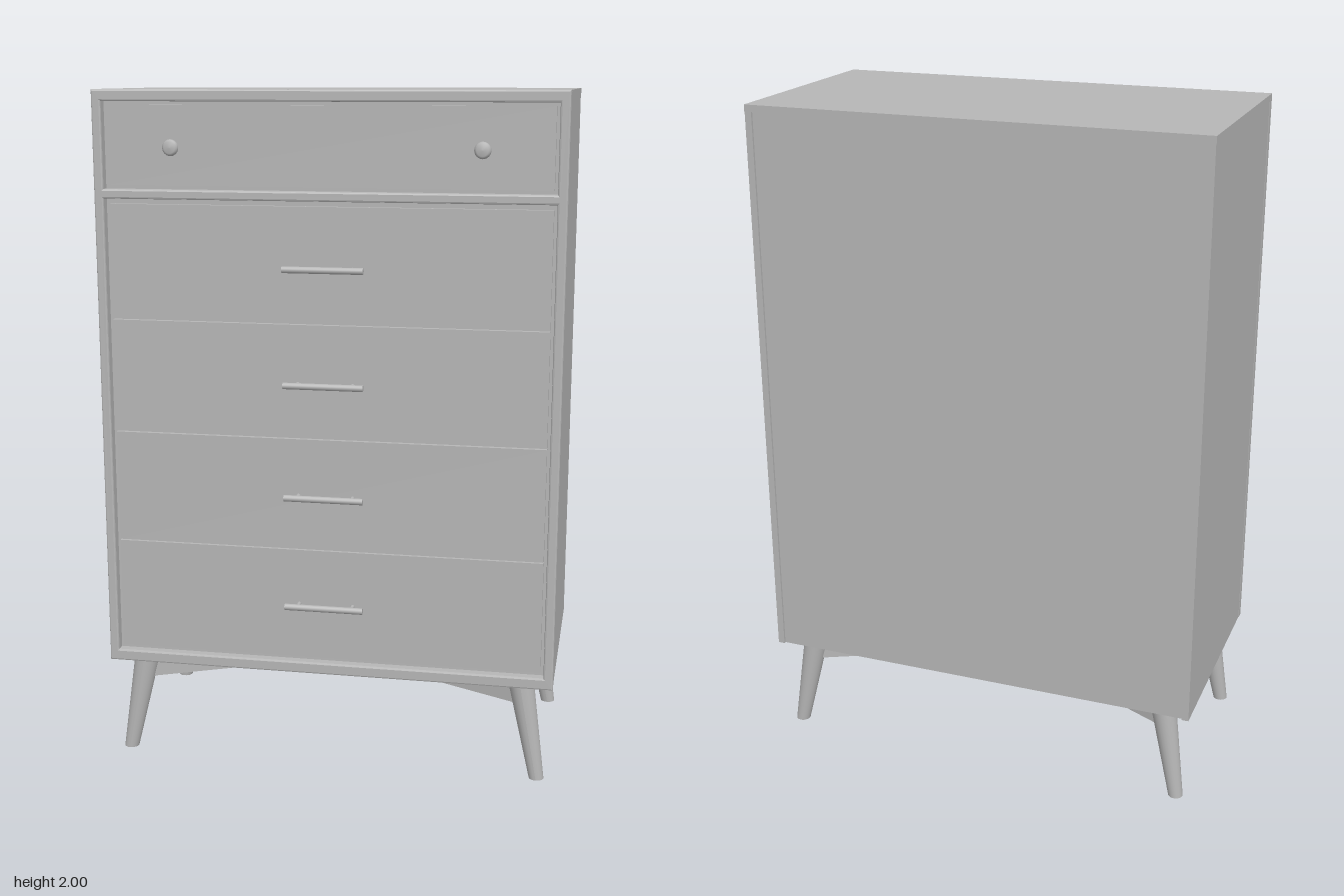
import * as THREE from 'three';

export function createModel() {
  const model = new THREE.Group();
  model.name = 'chestOfDrawers';
  const grey = new THREE.MeshStandardMaterial({ color: 0xb6b6b6 });
  grey.name = 'plain grey';

  const add = (name, geometry, x = 0, y = 0, z = 0) => {
    const mesh = new THREE.Mesh(geometry, grey);
    mesh.name = name;
    mesh.position.set(x, y, z);
    model.add(mesh);
    return mesh;
  };
  // Box given by its limits on each axis
  const box = (name, x0, x1, y0, y1, z0, z1) =>
    add(name, new THREE.BoxGeometry(x1 - x0, y1 - y0, z1 - z0),
      (x0 + x1) / 2, (y0 + y1) / 2, (z0 + z1) / 2);

  // Cabinet carcass with a slightly inset back
  box('topPanel', -0.67, 0.67, 1.98, 2, -0.365, 0.305);
  box('bottomPanel', -0.65, 0.65, 0.302, 0.325, -0.355, 0.305);
  for (const s of [-1, 1]) {
    add(s > 0 ? 'leftPanel' : 'rightPanel', new THREE.BoxGeometry(0.02, 1.68, 0.67), s * 0.659, 1.14, -0.03);
  }
  box('backPanel', -0.65, 0.65, 0.3, 1.98, -0.358, -0.34);
  box('drawerBacking', -0.65, 0.65, 0.325, 1.98, 0.28, 0.3);

  // Front frame with two bevelled openings
  const rect = (path, x, y0, y1) => {
    path.moveTo(-x, y0);
    path.lineTo(x, y0);
    path.lineTo(x, y1);
    path.lineTo(-x, y1);
    path.closePath();
    return path;
  };
  const frame = rect(new THREE.Shape(), 0.67, 0.298, 2);
  frame.holes.push(rect(new THREE.Path(), 0.642, 0.333, 1.695));
  frame.holes.push(rect(new THREE.Path(), 0.642, 1.722, 1.967));
  add('frontFrame', new THREE.ExtrudeGeometry(frame, {
    depth: 0.024, bevelEnabled: true, bevelThickness: 0.005, bevelSize: 0.005,
    bevelOffset: -0.005, bevelSegments: 2,
  }), 0, 0, 0.306);

  // Drawer fronts: one small on top, four deep below
  box('topDrawer', -0.632, 0.632, 1.732, 1.957, 0.29, 0.317);
  const handleHeights = [0.51, 0.842, 1.174, 1.506];
  const barGeometry = new THREE.CylinderGeometry(0.0095, 0.0095, 0.232, 16).rotateZ(Math.PI / 2);
  const postGeometry = new THREE.CylinderGeometry(0.006, 0.006, 0.04, 12).rotateX(Math.PI / 2);
  handleHeights.forEach((y, i) => {
    const y0 = 0.345 + i * 0.3345;
    box('drawer', -0.632, 0.632, y0, y0 + 0.331, 0.29, 0.317);
    add('handleBar', barGeometry, -0.003, y, 0.352);
    for (const s of [-1, 1]) add('handlePost', postGeometry, s * 0.08 - 0.003, y, 0.333);
  });

  // Round knobs on the top drawer
  const knobProfile = [[0, 0], [0.01, 0], [0.01, 0.018], [0.021, 0.023], [0.0235, 0.028],
    [0.021, 0.034], [0.016, 0.038], [0, 0.039]].map(([r, h]) => new THREE.Vector2(r, h));
  const knobGeometry = new THREE.LatheGeometry(knobProfile, 24).rotateX(Math.PI / 2);
  for (const s of [-1, 1]) add('knob', knobGeometry, s * 0.438, 1.84, 0.315);

  // Tapered legs, sheared outwards so the feet stay level
  for (const sx of [-1, 1]) {
    for (const sz of [-1, 1]) {
      const leg = new THREE.CylinderGeometry(0.039, 0.022, 0.305, 24);
      const p = leg.attributes.position;
      for (let i = 0; i < p.count; i++) {
        const t = 0.5 - p.getY(i) / 0.305;
        p.setX(i, p.getX(i) + sx * 0.055 * t);
        p.setZ(i, p.getZ(i) + sz * 0.019 * t);
      }
      leg.computeVertexNormals();
      add(sz > 0 ? 'frontLeg' : 'backLeg', leg, sx * 0.572, 0.1525, -0.011 + sz * 0.277);
    }
  }

  // Crossed stretchers joining opposite legs
  const dx = 1.144, dz = 0.554;
  for (const s of [-1, 1]) {
    const bar = add('crossStretcher', new THREE.BoxGeometry(Math.hypot(dx, dz), 0.073, 0.035), 0, 0.2665, -0.011);
    bar.rotation.y = s * Math.atan2(dz, dx);
  }
  return model;
}
